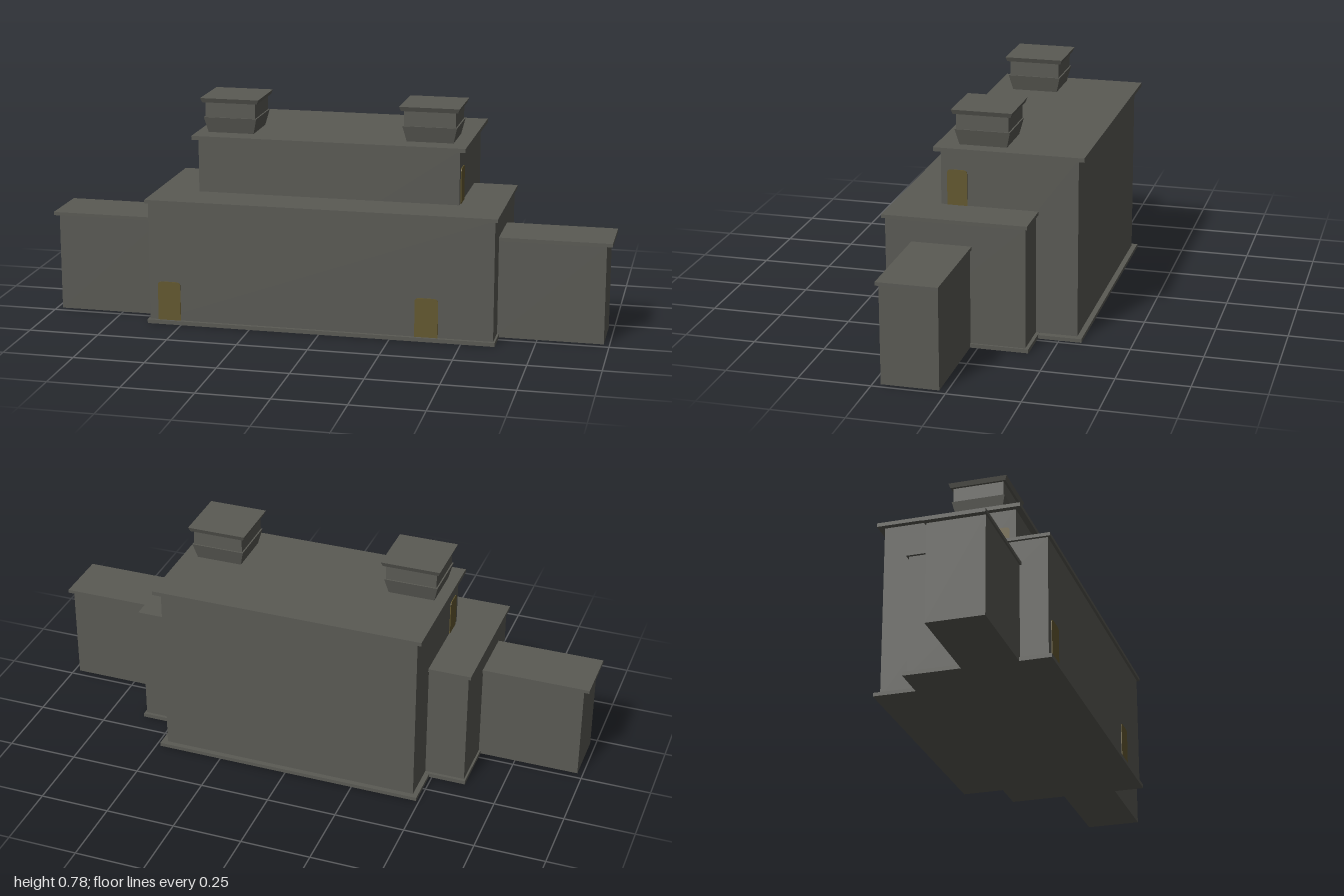
import * as THREE from 'three';

const stone = new THREE.MeshStandardMaterial({ color: 0x5a5a54 });
stone.name = 'dark stone';
const amber = new THREE.MeshStandardMaterial({ color: 0x635830 });
amber.name = 'amber window';

// Box given by its limits on each axis
function block(name, x0, x1, y0, y1, z0, z1) {
  const mesh = new THREE.Mesh(new THREE.BoxGeometry(x1 - x0, y1 - y0, z1 - z0), stone);
  mesh.position.set((x0 + x1) / 2, (y0 + y1) / 2, (z0 + z1) / 2);
  mesh.name = name;
  return mesh;
}

// Square block whose half width changes from bottom to top
function taper(name, y0, y1, bottom, top) {
  const geo = new THREE.CylinderGeometry(top * Math.SQRT2, bottom * Math.SQRT2, y1 - y0, 4).toNonIndexed();
  geo.rotateY(Math.PI / 4);
  geo.computeVertexNormals();
  const mesh = new THREE.Mesh(geo, stone);
  mesh.position.y = (y0 + y1) / 2;
  mesh.name = name;
  return mesh;
}

// Thin window plate with a shallow arched head, its base at the origin
function windowPlate(name, w, h) {
  const s = new THREE.Shape();
  s.moveTo(-w / 2, 0);
  s.lineTo(w / 2, 0);
  s.lineTo(w / 2, h - 0.012);
  s.quadraticCurveTo(w / 2, h, w / 4, h);
  s.lineTo(-w / 4, h);
  s.quadraticCurveTo(-w / 2, h, -w / 2, h - 0.012);
  const geo = new THREE.ExtrudeGeometry(s, { depth: 0.003, bevelEnabled: false });
  const mesh = new THREE.Mesh(geo, amber);
  mesh.name = name;
  return mesh;
}

export function createModel() {
  const model = new THREE.Group();
  model.name = 'fortifiedHall';

  // Front hall: plinth, walls and roof slab
  model.add(
    block('frontPlinth', -0.622, 0.618, 0, 0.014, -0.176, 0.332),
    block('frontHall', -0.615, 0.611, 0, 0.44, -0.164, 0.32),
    block('frontRoof', -0.625, 0.621, 0.438, 0.45, -0.172, 0.33),
  );

  // Taller rear hall
  model.add(
    block('rearPlinth', -0.49, 0.485, 0, 0.013, -0.328, 0.18),
    block('rearHall', -0.472, 0.463, 0, 0.645, -0.309, 0.167),
    block('rearRoof', -0.492, 0.485, 0.641, 0.655, -0.332, 0.188),
  );

  // Side wings
  for (const s of [-1, 1]) {
    const side = s > 0 ? 'left' : 'right';
    const span = (a, b) => (s > 0 ? [a, b] : [-b, -a]);
    model.add(
      block(side + 'Wing', ...span(0.6, 0.98), 0, 0.35, 0.026, 0.223),
      block(side + 'WingRoof', ...span(0.6, 1), 0.348, 0.36, 0.02, 0.229),
    );
  }

  // Roof turrets: flared base, square drum and flared cap
  for (const [side, x] of [['right', -0.368], ['left', 0.348]]) {
    const turret = new THREE.Group();
    turret.name = side + 'Turret';
    turret.add(
      taper('turretBase', 0.653, 0.711, 0.082, 0.096),
      taper('turretDrum', 0.711, 0.766, 0.091, 0.091),
      taper('turretCap', 0.765, 0.781, 0.1, 0.106),
    );
    turret.position.set(x, 0, 0.028);
    model.add(turret);
  }

  // Front windows
  for (const [side, x] of [['right', -0.543], ['left', 0.378]]) {
    const w = windowPlate(side + 'FrontWindow', 0.082, 0.14);
    w.position.set(x, 0.014, 0.32);
    model.add(w);
  }

  // Windows on the ends of the rear hall
  for (const [side, x, turn] of [['right', -0.472, -1], ['left', 0.463, 1]]) {
    const w = windowPlate(side + 'EndWindow', 0.07, 0.125);
    w.rotation.y = turn * Math.PI / 2;
    w.position.set(x, 0.45, 0.11);
    model.add(w);
  }

  return model;
}
